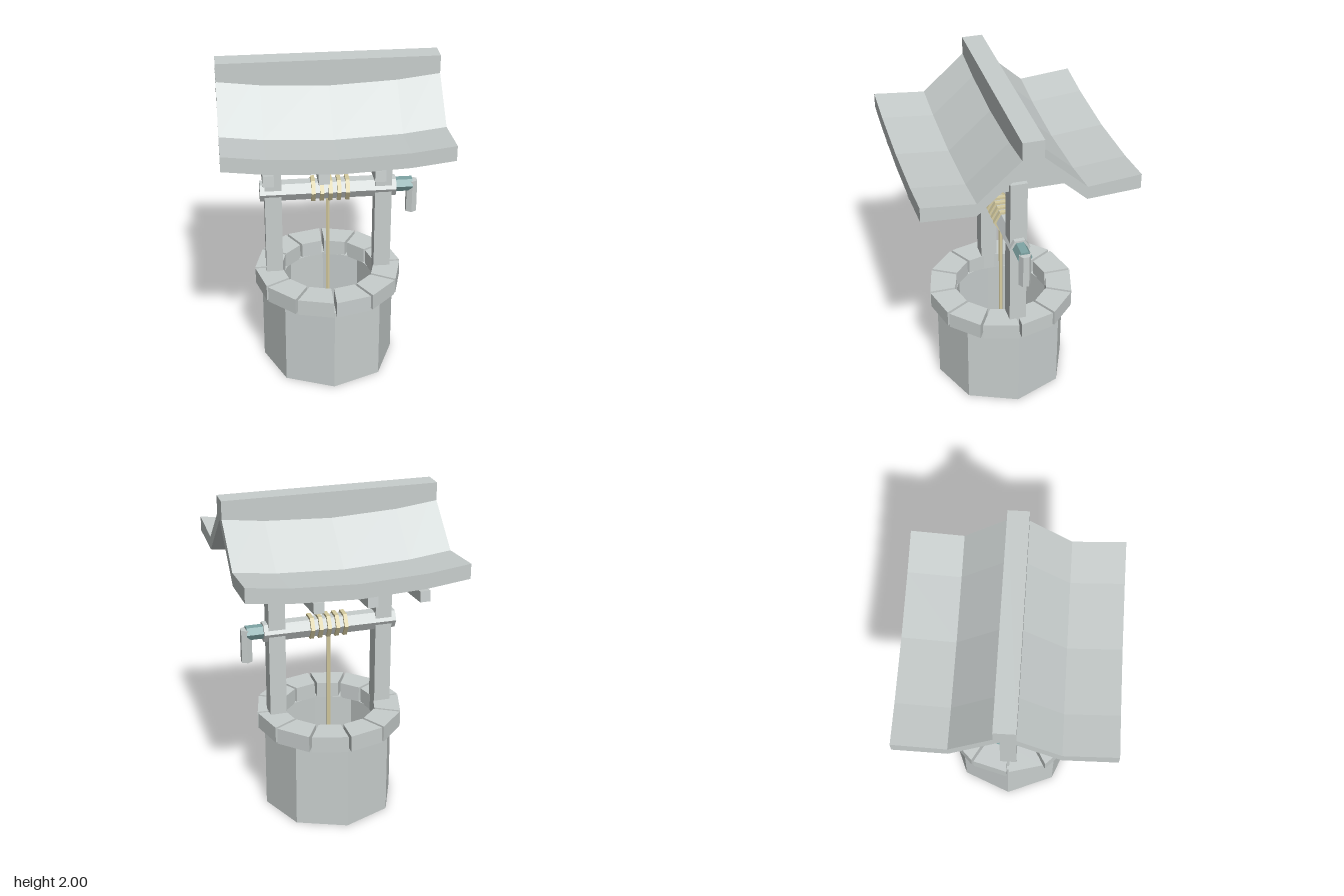
import * as THREE from 'three';

export function createModel() {
  const well = new THREE.Group();
  well.name = 'well';

  const flat = (name, color) => {
    const m = new THREE.MeshStandardMaterial({ color });
    m.name = name;
    m.flatShading = true;
    return m;
  };
  const grey = flat('paleGrey', 0xc8cecd);
  const teal = flat('teal', 0x7fa5a5);
  const straw = flat('straw', 0xd6cca0);
  teal.side = THREE.DoubleSide;

  const add = (name, geometry, material, x = 0, y = 0, z = 0) => {
    const mesh = new THREE.Mesh(geometry, material);
    mesh.name = name;
    mesh.position.set(x, y, z);
    well.add(mesh);
    return mesh;
  };
  // Six-sided bar, lying along x when asked
  const hexBar = (radius, length, alongX) => {
    const g = new THREE.CylinderGeometry(radius, radius, length, 6);
    return alongX ? g.rotateZ(Math.PI / 2) : g;
  };
  // Profile given as [z, y] pairs, swept along x and centred on it
  const sweepX = (points, length, steps = 1) => {
    const shape = new THREE.Shape(points.map(([z, y]) => new THREE.Vector2(-z, y)));
    return new THREE.ExtrudeGeometry(shape, { depth: length, steps, bevelEnabled: false })
      .translate(0, 0, -length / 2)
      .rotateY(Math.PI / 2);
  };
  // Mirrors a half profile to the other side of the ridge
  const mirrored = (half) => [
    ...half,
    ...half.filter(([z]) => z > 0).reverse().map(([z, y]) => [-z, y]),
  ];

  // Octagonal wall: outside, flared foot and inner shaft
  const wall = [[0.30, 0.13], [0.402, 0], [0.404, 0], [0.404, 0.54], [0.30, 0.54], [0.30, 0.13]];
  add('wall', new THREE.LatheGeometry(wall.map(([r, y]) => new THREE.Vector2(r, y)), 8), grey);

  // Water at the bottom of the shaft
  add('water', new THREE.CircleGeometry(0.302, 8).rotateX(-Math.PI / 2), teal, 0, 0.13, 0);

  // Ring of twelve separate capstones
  const inner = 0.285, outer = 0.445;
  for (let i = 0; i < 12; i++) {
    const a = (i * Math.PI) / 6, b = a + Math.PI / 6;
    const corner = (r, t) => new THREE.Vector2(r * Math.cos(t), r * Math.sin(t));
    const gap = 0.008;
    const shape = new THREE.Shape([
      corner(inner, a + gap / inner), corner(outer, a + gap / outer),
      corner(outer, b - gap / outer), corner(inner, b - gap / inner),
    ]);
    const g = new THREE.ExtrudeGeometry(shape, { depth: 0.1, bevelEnabled: false });
    add('capstone', g.rotateX(-Math.PI / 2), grey, 0, 0.535, 0);
  }

  // Posts with a triangular gable on each
  for (const side of [-1, 1]) {
    add('post', new THREE.BoxGeometry(0.1, 1.05, 0.1), grey, side * 0.328, 1.055, 0);
    const gable = [[-0.3, 1.525], [0.3, 1.525], [0, 1.825]];
    add('gable', sweepX(gable, 0.07), grey, side * 0.315, 0, 0);
  }

  // Eave beams, three on each slope
  for (const side of [-1, 1]) {
    for (const x of [-0.38, -0.08, 0.225]) {
      const beam = add('eaveBeam', new THREE.BoxGeometry(0.06, 0.062, 0.36), grey, x, 1.512, side * 0.407);
      beam.rotation.x = -side * 0.09;
    }
  }

  // Bent roof sheet, sagging towards the middle of its length
  const halfWidth = 0.632;
  const roofProfile = mirrored([
    [0, 1.95], [0.305, 1.672], [0.608, 1.7], [0.608, 1.612], [0.305, 1.595],
  ]);
  roofProfile.splice(5, 0, [0, 1.875]);
  const roof = sweepX(roofProfile, halfWidth * 2, 4);
  const p = roof.attributes.position;
  for (let i = 0; i < p.count; i++) {
    let x = p.getX(i);
    if (Math.abs(Math.abs(x) - halfWidth / 2) < 0.01) x = Math.sign(x) * 0.388;
    p.setX(i, x);
    p.setY(i, p.getY(i) - 0.048 * (1 - (x / halfWidth) ** 2));
  }
  roof.computeVertexNormals();
  add('roof', roof, grey);

  // Ridge cap
  const cap = [[-0.061, 2], [-0.061, 1.825], [0, 1.876], [0.061, 1.825], [0.061, 2]];
  add('ridgeCap', sweepX(cap, halfWidth * 2), grey);

  // Windlass axle, socket and crank handle
  const axleY = 1.165;
  add('axle', hexBar(0.062, 0.81, true), grey, 0, axleY, 0);
  add('crankSocket', hexBar(0.044, 0.11, true), teal, 0.45, axleY + 0.004, 0);
  add('crankHandle', hexBar(0.036, 0.205, false), grey, 0.504, 1.092, 0);

  // Rope: five turns on the axle and the hanging length
  for (let i = 0; i < 5; i++) {
    add('ropeTurn', hexBar(0.077, 0.024, true), straw, -0.09 + i * 0.051, axleY + 0.002, 0);
  }
  add('rope', hexBar(0.012, 0.98, false), straw, 0, 0.63, 0);

  return well;
}
